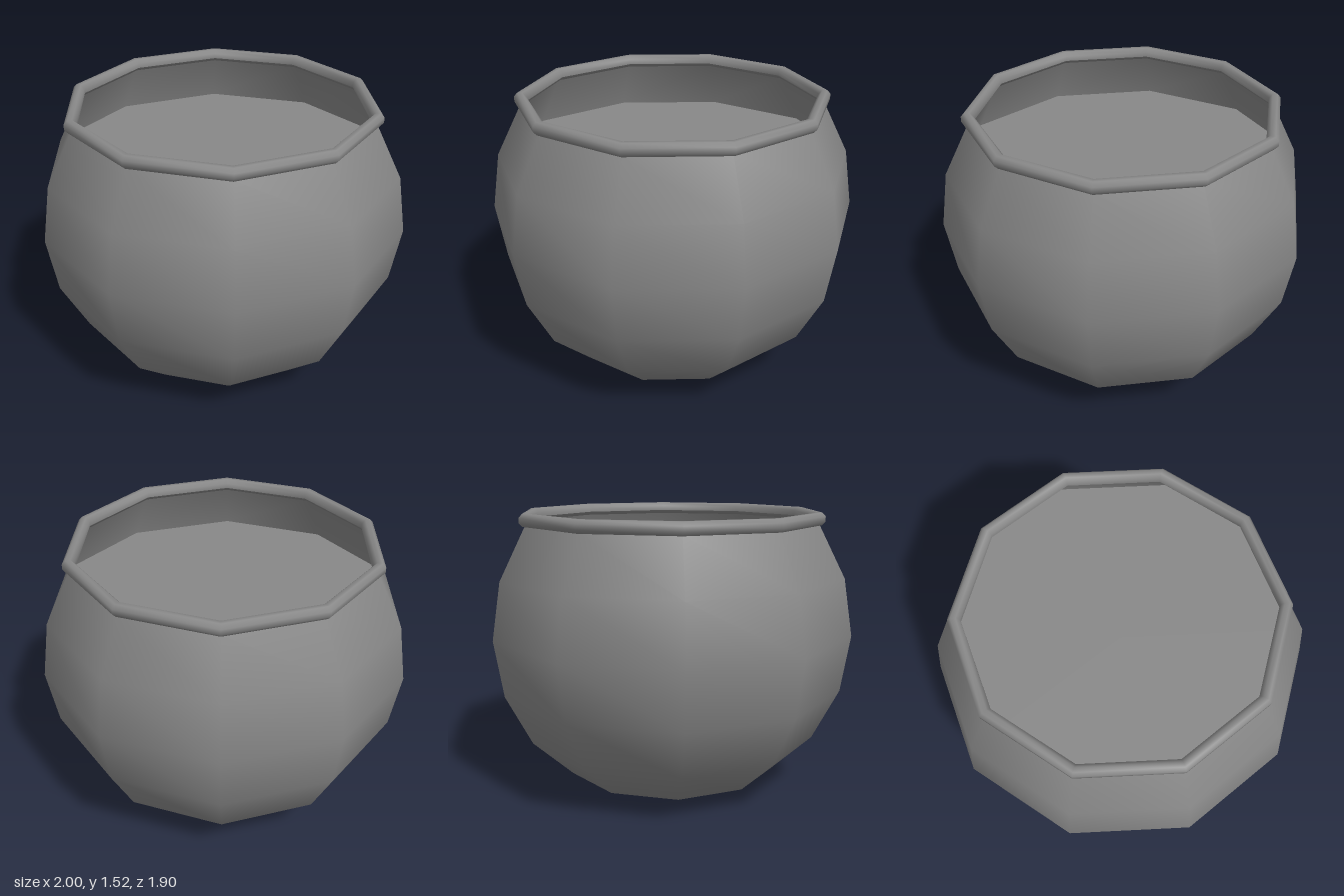
import * as THREE from 'three';

const SIDES = 10;

export function createModel() {
  const group = new THREE.Group();
  const material = new THREE.MeshStandardMaterial({ color: 0x888888, side: THREE.DoubleSide });

  // Ten-sided turned part, with a corner on the x axis
  const turn = (name, points) => {
    const profile = points.map(([r, y]) => new THREE.Vector2(r, y));
    const mesh = new THREE.Mesh(new THREE.LatheGeometry(profile, SIDES, Math.PI / 2), material);
    mesh.name = name;
    group.add(mesh);
  };

  // Round bowl: rings every 18 degrees, with a flattened base
  const centreY = 0.869;
  const bowl = [[0, 0], [0.309, 0], [0.588, 0.076]];
  for (let i = -2; i <= 2; i++) {
    const a = (i * Math.PI) / SIDES;
    bowl.push([Math.cos(a), centreY + Math.sin(a)]);
  }
  bowl.push([0.809, centreY + 0.588]);
  turn('bowl', bowl);

  // Rim: octagonal bead around the mouth
  const rim = [];
  for (let i = 0; i <= 8; i++) {
    const a = ((i + 0.5) * Math.PI) / 4 + Math.PI;
    rim.push([0.807 + 0.034 * Math.cos(a), 1.489 + 0.036 * Math.sin(a)]);
  }
  turn('rim', rim);

  // Flat water surface inside the bowl
  const water = new THREE.Mesh(new THREE.CircleGeometry(0.951, SIDES), material);
  water.rotation.x = -Math.PI / 2;
  water.position.y = centreY + 0.309;
  water.name = 'waterSurface';
  group.add(water);

  return group;
}
